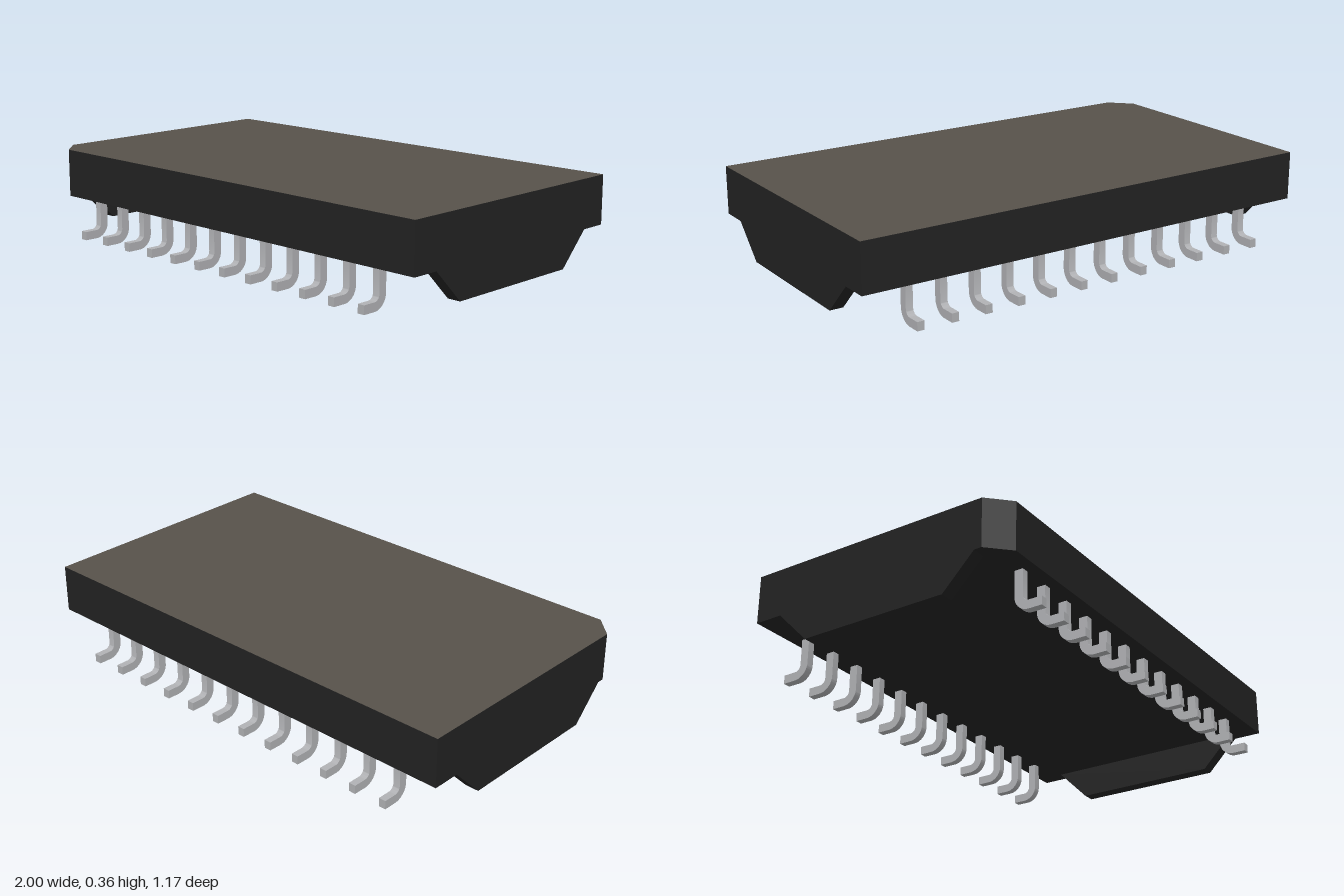
import * as THREE from 'three';
import { toCreasedNormals } from 'three/addons/utils/BufferGeometryUtils.js';

const material = (name, color) => {
  const m = new THREE.MeshStandardMaterial({ color });
  m.name = name;
  return m;
};

const polygon = (points) => new THREE.Shape(points.map(([x, y]) => new THREE.Vector2(x, y)));

export function createModel() {
  const black = material('black plastic', 0x222222);
  const brown = material('brown grey top', 0x57524a);
  const silver = material('silver metal', 0xb0b1b4);
  const model = new THREE.Group();
  model.name = 'surfaceMountPackage';

  const add = (name, geometry, mat, parent = model) => {
    const mesh = new THREE.Mesh(geometry, mat);
    mesh.name = name;
    parent.add(mesh);
    return mesh;
  };

  // Slab with one cut corner at the front, drawn as (x, -z)
  const D = 0.555, BASE = 0.165, TOP = 0.362, CUT = 0.085;
  const outline = polygon([[-1 + CUT, -D], [1, -D], [1, D], [-1, D], [-1, -D + CUT]]);
  const slab = new THREE.ExtrudeGeometry(outline, { depth: TOP - BASE, bevelEnabled: false });
  slab.rotateX(-Math.PI / 2);
  add('body', slab, black).position.y = BASE;

  // Coloured top face
  const face = new THREE.ShapeGeometry(outline);
  face.rotateX(-Math.PI / 2);
  add('topFace', face, brown).position.y = TOP + 0.001;

  // Tapered walls under both ends
  const WALL = 0.055;
  const wall = new THREE.ExtrudeGeometry(
    polygon([[-0.308, 0.032], [0.308, 0.032], [0.44, BASE], [-0.44, BASE]]),
    { depth: WALL, bevelEnabled: false });
  wall.rotateY(Math.PI / 2);
  add('leftEndWall', wall, black).position.x = 1 - WALL;
  add('rightEndWall', wall, black).position.x = -1;

  // Bent pin profile, drawn as (outward, up)
  const IN = 0.472, T = 0.035, R = 0.06, TIP = 0.585, WIDTH = 0.03;
  const profile = new THREE.Shape();
  profile.moveTo(IN, BASE + 0.005);
  profile.lineTo(IN, R);
  profile.absarc(IN + R, R, R, Math.PI, Math.PI * 1.5, false);
  profile.lineTo(TIP, 0);
  profile.lineTo(TIP, T);
  profile.lineTo(IN + R, T);
  profile.absarc(IN + R, R, R - T, Math.PI * 1.5, Math.PI, true);
  profile.lineTo(IN + T, BASE + 0.005);
  const bent = new THREE.ExtrudeGeometry(profile, { depth: WIDTH, bevelEnabled: false, curveSegments: 10 });
  bent.translate(0, 0, -WIDTH / 2);
  bent.rotateY(-Math.PI / 2);
  const pin = toCreasedNormals(bent, 0.6);

  // Twelve pins along each long side
  for (const side of ['front', 'back']) {
    const row = new THREE.Group();
    row.name = side + 'Pins';
    for (let i = 0; i < 12; i++) {
      add(side + 'Pin', pin, silver, row).position.x = (i - 5.5) * 0.143;
    }
    if (side === 'back') row.rotation.y = Math.PI;
    model.add(row);
  }

  return model;
}
